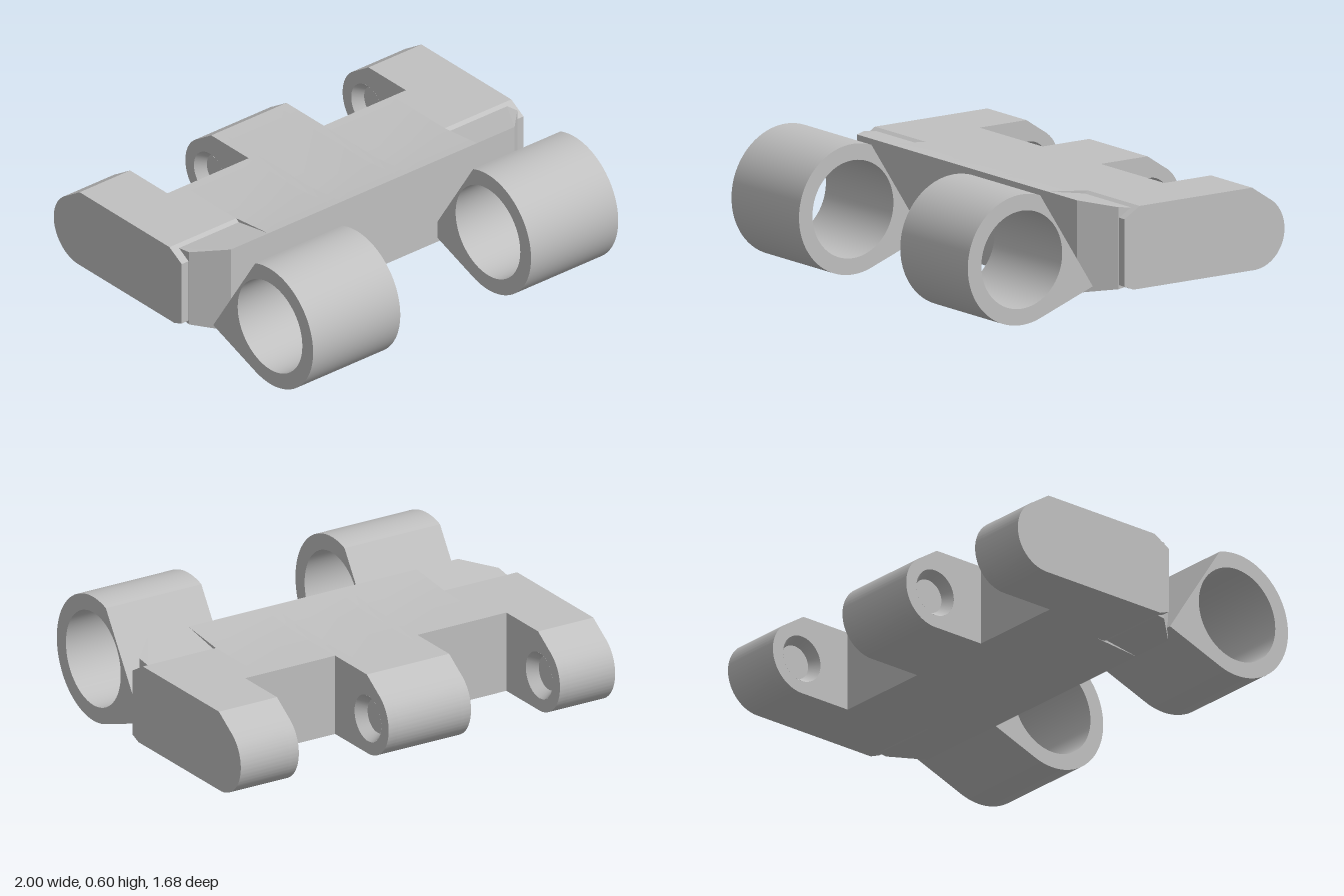
import * as THREE from 'three';
import { toCreasedNormals } from 'three/addons/utils/BufferGeometryUtils.js';
import { ConvexGeometry } from 'three/addons/geometries/ConvexGeometry.js';

const PIN = { z: -0.67, y: 0.28, r: 0.17 };   // rear lug rounding
const DIMPLE = { r: 0.11, floor: 0.08, depth: 0.05 };
const EYE = { z: 0.54, y: 0.3, r: 0.3, bore: 0.225 };

export function createModel() {
  const group = new THREE.Group();
  const grey = new THREE.MeshStandardMaterial({ color: 0xc0c0c0 });
  grey.name = 'light grey';

  function add(name, geometry) {
    const mesh = new THREE.Mesh(geometry, grey);
    mesh.name = name;
    group.add(mesh);
    return mesh;
  }

  // Extrude a side profile, drawn with u = -z and v = y, from x0 to x1
  function slab(name, shape, x0, x1) {
    let geo = new THREE.ExtrudeGeometry(shape, { depth: x1 - x0, bevelEnabled: false, curveSegments: 32 });
    geo = toCreasedNormals(geo, 0.35);
    geo.rotateY(Math.PI / 2).translate(x0, 0, 0);
    return add(name, geo);
  }

  // Body side profile: outer ends are chamfered, the middle flares to the front
  function bodyProfile({ end, lug, hole }) {
    const s = new THREE.Shape();
    if (end) {
      s.moveTo(0, 0.11);
      s.lineTo(-0.05, 0.13);
      s.lineTo(-0.05, 0.44);
      s.lineTo(0.035, 0.49);
    } else {
      s.moveTo(0.04, 0.11);
      s.lineTo(-0.19, 0.09);
      s.lineTo(-0.19, 0.515);
      s.lineTo(0.04, 0.49);
    }
    if (lug) {
      s.lineTo(0.66, 0.49);
      s.absarc(-PIN.z, PIN.y, PIN.r, 1.06, -Math.PI / 2, true);
    } else {
      s.lineTo(0.4, 0.49);
      s.lineTo(0.4, 0.11);
    }
    s.closePath();
    if (hole) {
      const h = new THREE.Path();
      h.absarc(-PIN.z, PIN.y, DIMPLE.r, 0, Math.PI * 2, false);
      s.holes.push(h);
    }
    return s;
  }

  // Tapered blind hole opening at x, facing along dir
  function dimple(x, dir) {
    const pts = [[0, -DIMPLE.depth], [DIMPLE.floor, -DIMPLE.depth], [DIMPLE.r, 0]]
      .map(([r, y]) => new THREE.Vector2(r, y));
    let geo = new THREE.LatheGeometry(pts, 32);
    geo = toCreasedNormals(geo, 0.35);
    geo.rotateZ(-dir * Math.PI / 2).translate(x, PIN.y, PIN.z);
    const mesh = add('pinDimple', geo);
    mesh.material = dimpleGrey;
  }
  const dimpleGrey = grey;
  grey.side = THREE.DoubleSide;

  // Body slices across the width
  const d = DIMPLE.depth;
  const slices = [
    ['rightLug', -1, -0.705 - d, { end: true, lug: true }],
    ['rightLugFace', -0.705 - d, -0.705, { end: true, lug: true, hole: true }],
    ['rightBridgeEnd', -0.705, -0.61, { end: true }],
    ['rightBridge', -0.61, -0.23, {}],
    ['middleLugFace', -0.23, -0.23 + d, { lug: true, hole: true }],
    ['middleLug', -0.23 + d, 0.21 - d, { lug: true }],
    ['middleLugFace', 0.21 - d, 0.21, { lug: true, hole: true }],
    ['leftBridge', 0.21, 0.61, {}],
    ['leftBridgeEnd', 0.61, 0.69, { end: true }],
    ['leftLugFace', 0.69, 0.69 + d, { end: true, lug: true, hole: true }],
    ['leftLug', 0.69 + d, 1, { end: true, lug: true }],
  ];
  for (const [name, x0, x1, kind] of slices) slab(name, bodyProfile(kind), x0, x1);

  dimple(-0.705, 1);
  dimple(-0.23, -1);
  dimple(0.21, 1);
  dimple(0.69, -1);

  // Tapered front flange tips, one per side
  for (const s of [-1, 1]) {
    const pts = [];
    for (const [x, z, lo, hi] of [
      [0.6, -0.02, 0.122, 0.478], [0.96, -0.02, 0.122, 0.478],
      [0.96, 0.055, 0.112, 0.489],
      [0.83, 0.19, 0.09, 0.515], [0.6, 0.19, 0.09, 0.515],
    ]) for (const y of [lo, hi]) pts.push(new THREE.Vector3(s * x, y, z));
    add(s < 0 ? 'rightFlange' : 'leftFlange', new ConvexGeometry(pts));
  }

  // Front eyes: rings with tangent arms into the flange
  const eye = new THREE.Shape();
  const tilt = 20 * Math.PI / 180;
  eye.moveTo(-0.145, 0.475);
  eye.absarc(-EYE.z, EYE.y, EYE.r, Math.PI / 2 - tilt, -Math.PI / 2 + tilt + Math.PI * 2, false);
  eye.lineTo(-0.145, 0.125);
  eye.closePath();
  const bore = new THREE.Path();
  bore.absarc(-EYE.z, EYE.y, EYE.bore, 0, Math.PI * 2, true);
  eye.holes.push(bore);
  slab('rightEye', eye, -0.895, -0.385);
  slab('leftEye', eye, 0.38, 0.89);

  return group;
}
